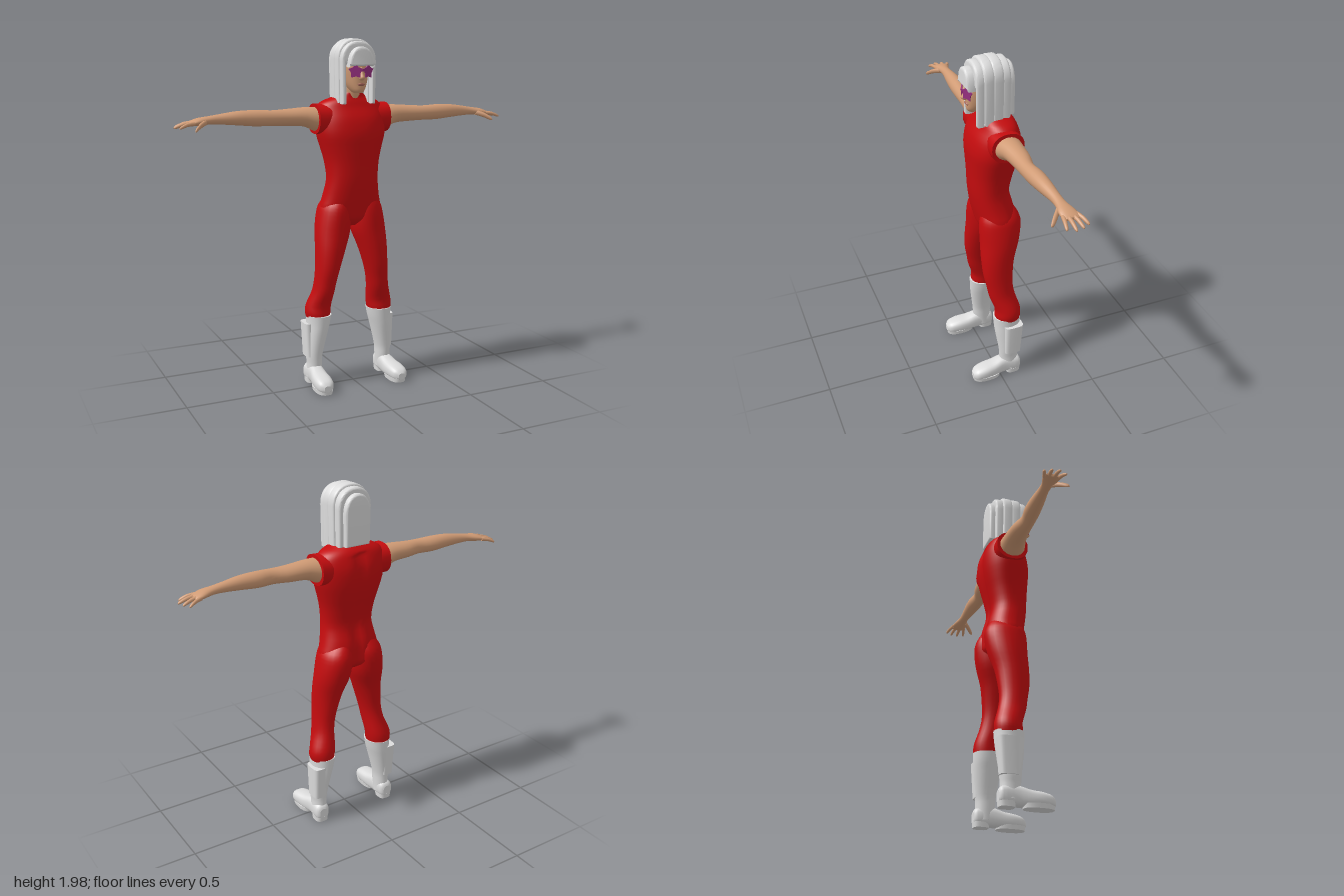
import * as THREE from 'three';
import { toCreasedNormals } from 'three/addons/utils/BufferGeometryUtils.js';

const material = (name, color) => {
  const m = new THREE.MeshStandardMaterial({ color });
  m.name = name;
  return m;
};

const spline = (a, b, c, d, t) =>
  0.5 * (2 * b + (c - a) * t + (2 * a - 5 * b + 4 * c - d) * t * t + (3 * b - a - 3 * c + d) * t ** 3);

// Skin over super-ellipse sections [t, u, v, ru, rv], with t rising along the axis.
function loft(sections, { axis = 'y', n = 24, sub = 3, power = 2, rule } = {}) {
  const at = i => sections[THREE.MathUtils.clamp(i, 0, sections.length - 1)];
  const rings = [];
  for (let i = 0; i < sections.length - 1; i++)
    for (let s = 0; s < sub; s++)
      rings.push(at(i).map((_, k) => spline(at(i - 1)[k], at(i)[k], at(i + 1)[k], at(i + 2)[k], s / sub)));
  rings.push(at(sections.length));
  const pos = [], index = [];
  const put = (t, u, v) => {
    const p = axis === 'y' ? [u, t, v] : axis === 'x' ? [t, u, v] : [u, v, t];
    pos.push(...(rule ? rule(...p) : p));
  };
  const tri = (a, b, c) => (axis === 'y' ? index.push(a, c, b) : index.push(a, b, c));
  const round = x => Math.sign(x) * Math.abs(x) ** (2 / power);
  const ring = ([t, u, v, ru, rv]) => {
    for (let j = 0; j < n; j++) {
      const a = (j / n) * Math.PI * 2;
      put(t, u + ru * round(Math.cos(a)), v + rv * round(Math.sin(a)));
    }
  };
  rings.forEach(ring);
  for (let i = 0; i < rings.length - 1; i++)
    for (let j = 0; j < n; j++) {
      const a = i * n + j, b = i * n + (j + 1) % n;
      tri(a, b, a + n);
      tri(b, b + n, a + n);
    }
  // end caps with their own corners, so the rims stay crisp
  [rings[0], rings[rings.length - 1]].forEach((r, end) => {
    const base = pos.length / 3;
    ring(r);
    put(r[0], r[1], r[2]);
    for (let j = 0; j < n; j++) {
      const a = base + j, b = base + (j + 1) % n;
      end ? tri(a, b, base + n) : tri(b, a, base + n);
    }
  });
  const g = new THREE.BufferGeometry();
  g.setAttribute('position', new THREE.Float32BufferAttribute(pos, 3));
  g.setIndex(index);
  g.computeVertexNormals();
  return g;
}

function mirrored(geometry) {
  const g = geometry.clone().scale(-1, 1, 1), ix = g.index.array;
  for (let i = 0; i < ix.length; i += 3) [ix[i], ix[i + 1]] = [ix[i + 1], ix[i]];
  return g;
}

// One slab of hair arched over the head; "open" is the half width left free for the face.
function hairSlab(w, top, bottom, z0, z1, open = 0, brow = 0) {
  const s = new THREE.Shape(), h = top - 0.11;
  s.moveTo(w * 0.96, bottom);
  s.lineTo(w, h);
  s.bezierCurveTo(w, h + 0.07, w * 0.6, top, 0, top);
  s.bezierCurveTo(-w * 0.6, top, -w, h + 0.07, -w, h);
  s.lineTo(-w * 0.96, bottom);
  if (open) {
    s.lineTo(-open, bottom);
    s.lineTo(-open, brow);
    s.lineTo(open, brow);
    s.lineTo(open, bottom);
  }
  const b = 0.012;
  const g = new THREE.ExtrudeGeometry(s, {
    depth: z1 - z0 - 2 * b, bevelSize: b, bevelThickness: b, bevelOffset: -b, bevelSegments: 3, curveSegments: 12,
  });
  return toCreasedNormals(g.translate(0, 0, z0 + b), 0.7);
}

export function createModel() {
  const model = new THREE.Group();
  const red = material('red suit', 0xc40c0e);
  const white = material('white', 0xdcdcdc);
  const skin = material('skin', 0xd09b75);
  const purple = material('purple glasses', 0x96307f);
  purple.side = THREE.DoubleSide;
  const lip = material('lips', 0xa8685a);

  const add = (name, geometry, mat) => {
    const m = new THREE.Mesh(geometry, mat);
    m.name = name;
    model.add(m);
    return m;
  };
  const pair = (name, geometry, mat) => {
    add('left ' + name, geometry, mat);
    add('right ' + name, mirrored(geometry), mat);
  };

  // Suit: torso with a groove down the spine, sleeves and legs
  add('torso', loft([
    [0.93, 0, -0.05, 0.03, 0.05], [0.97, 0, -0.05, 0.12, 0.095], [1.02, 0, -0.045, 0.183, 0.105],
    [1.1, 0, -0.034, 0.167, 0.112], [1.2, 0, -0.015, 0.15, 0.107], [1.3, 0, -0.022, 0.158, 0.118],
    [1.38, 0, -0.03, 0.178, 0.13], [1.46, 0, -0.036, 0.2, 0.138], [1.54, 0, -0.045, 0.206, 0.13],
    [1.6, 0, -0.052, 0.198, 0.106], [1.635, 0, -0.05, 0.165, 0.09], [1.66, 0, -0.042, 0.1, 0.072],
    [1.685, 0, -0.03, 0.06, 0.06],
  ], {
    n: 48, power: 2.3,
    rule: (x, y, z) => [x, y, z < -0.06 && y < 1.62 ? z + 0.018 * Math.exp(-((x / 0.03) ** 2)) : z],
  }), red);
  pair('sleeve', loft([
    [0.1, 1.54, -0.045, 0.085, 0.09], [0.16, 1.54, -0.045, 0.083, 0.094], [0.217, 1.542, -0.045, 0.084, 0.092],
  ], { axis: 'x', power: 2.3 }), red);
  pair('leg', loft([
    [0.37, 0.195, -0.063, 0.06, 0.07], [0.42, 0.197, -0.063, 0.073, 0.077], [0.47, 0.192, -0.062, 0.073, 0.075],
    [0.55, 0.174, -0.037, 0.063, 0.077], [0.62, 0.163, -0.025, 0.063, 0.078], [0.7, 0.15, -0.02, 0.07, 0.088],
    [0.8, 0.132, -0.025, 0.085, 0.098], [0.9, 0.112, -0.042, 0.1, 0.113], [1, 0.1, -0.05, 0.096, 0.121],
    [1.06, 0.09, -0.048, 0.086, 0.11], [1.12, 0.07, -0.04, 0.05, 0.08],
  ]), red);

  // Boots: shaft, raised outer panel, foot, sole and heel
  pair('boot shaft', loft([
    [0.04, 0.225, -0.066, 0.044, 0.055], [0.12, 0.222, -0.062, 0.043, 0.056], [0.18, 0.222, -0.062, 0.048, 0.06],
    [0.3, 0.206, -0.06, 0.06, 0.075], [0.36, 0.197, -0.06, 0.067, 0.08], [0.412, 0.193, -0.06, 0.073, 0.083],
  ]), white);
  pair('boot panel', loft([
    [0.165, 0.238, -0.075, 0.038, 0.05], [0.365, 0.238, -0.08, 0.046, 0.058],
  ], { sub: 1, power: 4 }), white);
  pair('foot', loft([
    [-0.13, 0.229, 0.055, 0.025, 0.03], [-0.11, 0.228, 0.06, 0.043, 0.05], [-0.03, 0.225, 0.063, 0.043, 0.055],
    [0.04, 0.229, 0.053, 0.05, 0.046], [0.1, 0.233, 0.05, 0.053, 0.041], [0.15, 0.235, 0.044, 0.044, 0.033],
    [0.172, 0.235, 0.038, 0.02, 0.018],
  ], { axis: 'z', power: 2.6 }), white);
  pair('sole', loft([[0, 0.233, 0.085, 0.047, 0.083], [0.025, 0.233, 0.085, 0.05, 0.087]], { sub: 1, power: 2.5 }), white);
  pair('heel', loft([[0, 0.228, -0.085, 0.038, 0.043], [0.03, 0.228, -0.085, 0.04, 0.046]], { sub: 1, power: 3 }), white);

  // Arms, fingers and thumbs
  pair('arm', loft([
    [0.14, 1.54, -0.045, 0.065, 0.075], [0.21, 1.54, -0.045, 0.068, 0.075], [0.28, 1.555, -0.047, 0.053, 0.062],
    [0.38, 1.555, -0.048, 0.046, 0.052], [0.47, 1.555, -0.04, 0.042, 0.04], [0.56, 1.557, -0.047, 0.044, 0.044],
    [0.66, 1.56, -0.05, 0.038, 0.038], [0.76, 1.557, -0.055, 0.027, 0.028], [0.82, 1.553, -0.057, 0.022, 0.03],
    [0.87, 1.547, -0.06, 0.021, 0.042], [0.91, 1.54, -0.065, 0.014, 0.044], [0.925, 1.537, -0.065, 0.008, 0.036],
  ], { axis: 'x' }), skin);
  const digit = (a, b, r) => loft([0, 0.5, 0.9, 1].map((t, i) => [
    ...a.map((v, k) => v + (b[k] - v) * t + (k === 1 ? 0.006 * Math.sin(Math.PI * t) : 0)),
    r * [1, 0.9, 0.7, 0.25][i], r * [1, 0.9, 0.7, 0.25][i],
  ]), { axis: 'x', n: 10, sub: 2 });
  [[-0.1, -0.128, 0.972], [-0.077, -0.093, 0.992], [-0.052, -0.052, 1], [-0.03, -0.012, 0.98]].forEach(
    ([z0, z1, tip], i) => pair('finger ' + (i + 1), digit([0.895, 1.541, z0], [tip, 1.519, z1], 0.0115), skin));
  pair('thumb', digit([0.83, 1.546, -0.042], [0.908, 1.505, 0.028], 0.016), skin);

  // Head: neck, face, nose and lips
  add('neck', loft([[1.6, 0, -0.03, 0.052, 0.055], [1.75, 0, -0.01, 0.05, 0.055]], { sub: 1 }), skin);
  add('face', loft([
    [1.685, 0, 0.06, 0.022, 0.035], [1.7, 0, 0.05, 0.037, 0.056], [1.73, 0, 0.03, 0.055, 0.078],
    [1.77, 0, 0.015, 0.067, 0.095], [1.82, 0, 0.01, 0.074, 0.1], [1.9, 0, 0, 0.075, 0.095], [1.94, 0, 0, 0.05, 0.06],
  ], { power: 2.2 }), skin);
  add('nose', loft([
    [1.755, 0, 0.11, 0.01, 0.012], [1.768, 0, 0.112, 0.017, 0.024], [1.79, 0, 0.108, 0.011, 0.018],
    [1.825, 0, 0.105, 0.007, 0.01],
  ], { n: 12 }), skin);
  add('lips', loft([
    [1.724, 0, 0.103, 0.012, 0.006], [1.732, 0, 0.104, 0.024, 0.01], [1.74, 0, 0.104, 0.01, 0.008],
  ], { n: 12 }), lip);

  // Star-shaped glasses with a bridge
  const star = new THREE.Shape(Array.from({ length: 10 }, (_, i) => {
    const r = i % 2 ? 0.027 : 0.042, a = Math.PI / 2 + (i * Math.PI) / 5;
    return new THREE.Vector2(r * Math.cos(a), r * Math.sin(a));
  }));
  for (const side of [1, -1]) {
    const lens = add(side > 0 ? 'left lens' : 'right lens',
      new THREE.ExtrudeGeometry(star, { depth: 0.006, bevelEnabled: false }), purple);
    lens.position.set(side * 0.036, 1.803, 0.113);
    lens.rotation.y = side * 0.42;
  }
  add('bridge', new THREE.BoxGeometry(0.03, 0.012, 0.007), purple).position.set(0, 1.808, 0.127);

  // Hair: arched slabs from fringe to back, shortest at the ends
  [
    ['fringe', 0.074, 1.935, 1.832, 0.07, 0.126],
    ['front hair', 0.103, 1.965, 1.625, 0.035, 0.085, 0.076, 1.84],
    ['side hair', 0.11, 1.978, 1.63, -0.015, 0.045, 0.07, 1.84],
    ['crown hair', 0.111, 1.98, 1.65, -0.065, -0.005],
    ['rear hair', 0.102, 1.968, 1.655, -0.108, -0.055],
    ['back hair', 0.078, 1.94, 1.66, -0.14, -0.09],
  ].forEach(([name, ...size]) => add(name, hairSlab(...size), white));

  return model;
}
